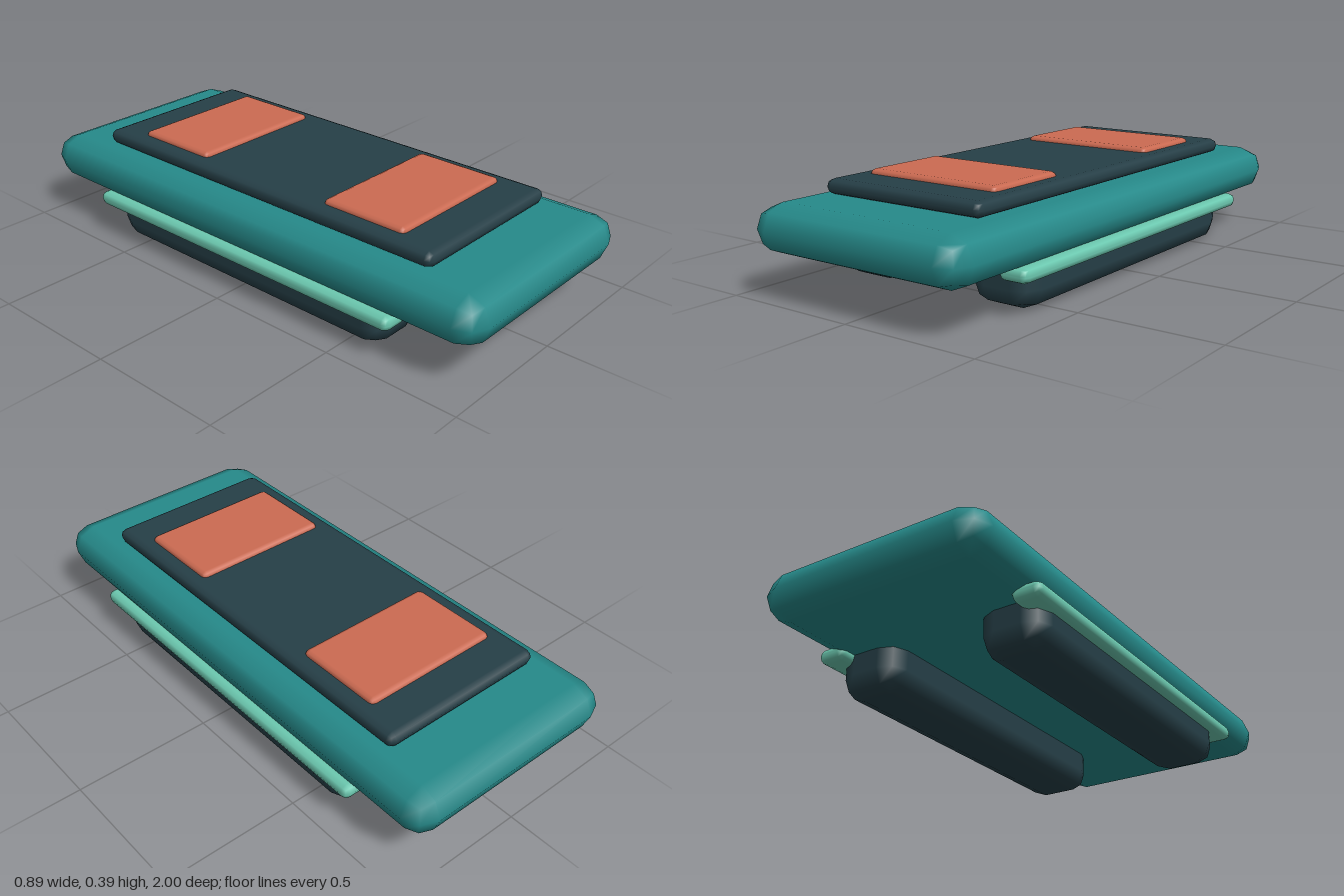
import * as THREE from 'three';
import { RoundedBoxGeometry } from 'three/addons/geometries/RoundedBoxGeometry.js';

const paint = (name, color) => {
  const material = new THREE.MeshStandardMaterial({ color });
  material.name = name;
  return material;
};

export function createModel() {
  const teal = paint('teal', 0x268a8a);
  const slate = paint('darkSlate', 0x263f47);
  const coral = paint('coral', 0xcc6b52);
  const mint = paint('mint', 0x6cc9b0);

  const model = new THREE.Group();
  model.name = 'hoverSled';

  // Box with softly bevelled edges, placed by its centre
  const addBlock = (name, material, [w, h, d], radius, [x, y, z]) => {
    const mesh = new THREE.Mesh(new RoundedBoxGeometry(w, h, d, 1, radius), material);
    mesh.name = name;
    mesh.position.set(x, y, z);
    model.add(mesh);
  };

  // Main deck and the raised panel on it
  addBlock('deck', teal, [0.866, 0.17, 2], 0.085, [0, 0.23, 0]);
  addBlock('topPanel', slate, [0.652, 0.054, 1.52], 0.026, [0, 0.342, 0]);

  // Foot pads at the front and back of the panel
  for (const [name, side] of [['front', 1], ['back', -1]]) {
    addBlock(name + 'FootPad', coral, [0.536, 0.036, 0.335], 0.018, [0, 0.368, side * 0.445]);
  }

  // Runners under the deck, with a light strip along each outer side
  for (const [name, side] of [['left', 1], ['right', -1]]) {
    addBlock(name + 'Runner', slate, [0.246, 0.22, 1.266], 0.073, [side * 0.285, 0.11, 0]);
    addBlock(name + 'LightStrip', mint, [0.11, 0.052, 1.386], 0.024, [side * 0.39, 0.144, 0]);
  }

  return model;
}
